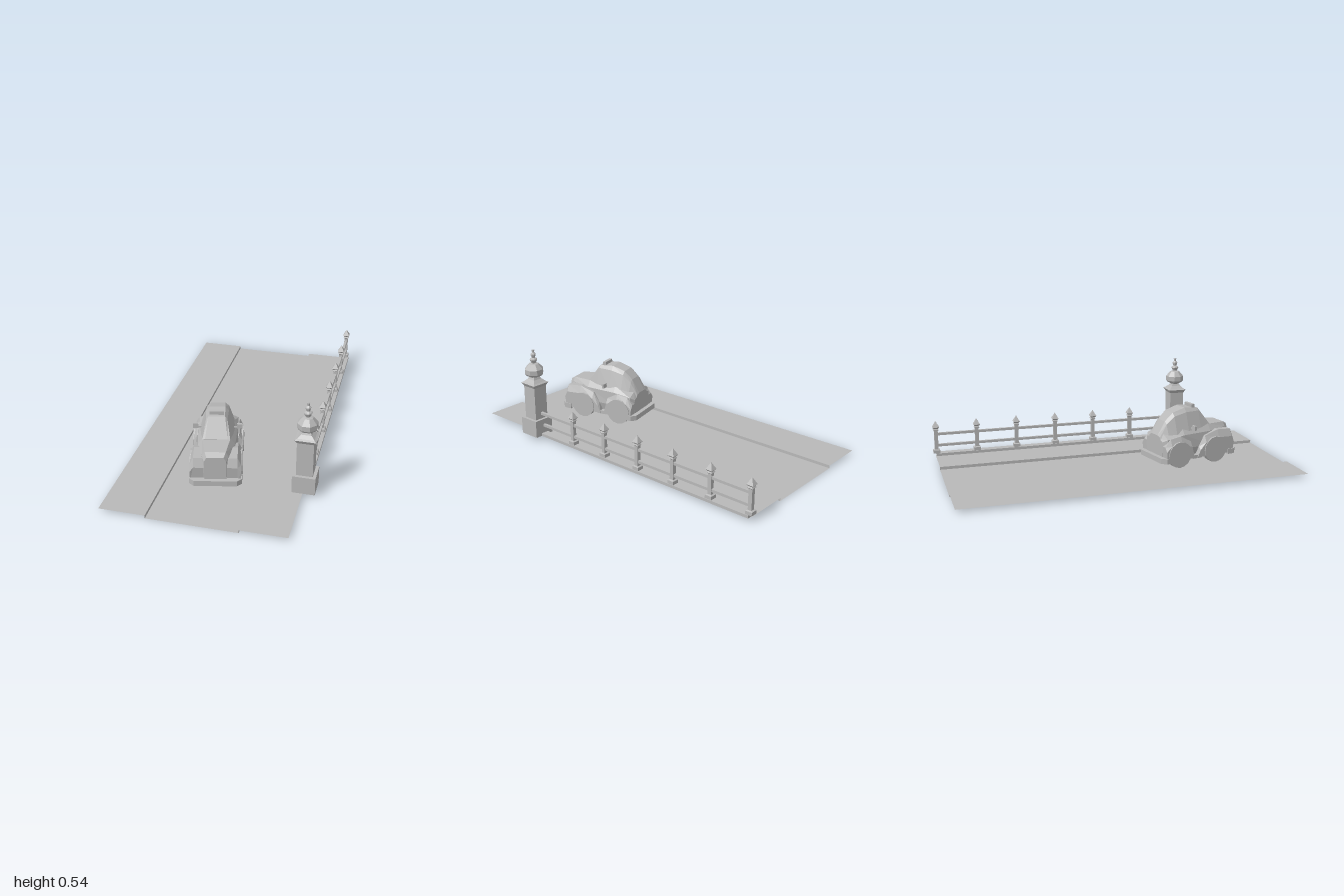
import * as THREE from 'three';

const stoneGrey = new THREE.MeshStandardMaterial({ color: 0xb8b8b8 });
stoneGrey.name = 'stoneGrey';
stoneGrey.flatShading = true;
stoneGrey.side = THREE.DoubleSide;

function add(parent, name, geometry, x = 0, y = 0, z = 0) {
  const mesh = new THREE.Mesh(geometry, stoneGrey);
  mesh.name = name;
  mesh.position.set(x, y, z);
  parent.add(mesh);
  return mesh;
}

const box = (w, h, d) => new THREE.BoxGeometry(w, h, d);

// Faceted turned shape; radii are measured to the flat sides
function turned(points, sides) {
  const k = 1 / Math.cos(Math.PI / sides);
  return new THREE.LatheGeometry(points.map(([r, y]) => new THREE.Vector2(r * k, y)), sides, Math.PI / sides);
}

// Loft through mirrored half profiles, from back to front
function loft(sections) {
  const rings = sections.map(([z, ...half]) => [
    ...half.map(([x, y]) => [x, y, z]),
    ...half.slice().reverse().map(([x, y]) => [-x, y, z]),
  ]);
  const n = rings[0].length;
  const index = [];
  for (let i = 0; i < rings.length - 1; i++) {
    for (let j = 0; j < n; j++) {
      const k = (j + 1) % n;
      const a = i * n + j, b = i * n + k;
      index.push(a, b, b + n, a, b + n, a + n);
    }
  }
  const last = (rings.length - 1) * n;
  for (let j = 1; j < n - 1; j++) {
    index.push(last, last + j, last + j + 1, 0, j + 1, j);
  }
  const g = new THREE.BufferGeometry();
  g.setAttribute('position', new THREE.Float32BufferAttribute(rings.flat(2), 3));
  g.setIndex(index);
  const flat = g.toNonIndexed();
  flat.computeVertexNormals();
  return flat;
}

function extrude(points, depth, steps = 1) {
  const shape = new THREE.Shape(points.map(([x, y]) => new THREE.Vector2(x, y)));
  return new THREE.ExtrudeGeometry(shape, { depth, steps, bevelEnabled: false });
}

// Fender with an outer edge that drops down
function fender(side, outline) {
  const g = extrude(outline, 0.075, 4).rotateY(-Math.PI / 2);
  g.translate(side > 0 ? 0.135 : -0.06, 0, 0);
  const p = g.attributes.position;
  for (let i = 0; i < p.count; i++) {
    if (Math.abs(p.getX(i)) > 0.13) p.setY(i, 0.06 + (p.getY(i) - 0.06) * 0.7);
  }
  g.computeVertexNormals();
  return g;
}

function createStreet() {
  const street = new THREE.Group();
  street.name = 'street';
  const profile = [[-0.53, 0.017], [-0.28, 0.017], [-0.28, 0], [0.21, 0], [0.21, 0.017], [0.46, 0.017]];
  const names = ['rightPavement', 'rightKerb', 'road', 'leftKerb', 'leftPavement'];
  names.forEach((name, i) => {
    const g = new THREE.PlaneGeometry(1, 1);
    [0, 1, 2, 3].forEach((v) => {
      const [x, y] = profile[i + (v % 2)];
      g.attributes.position.setXYZ(v, x, y, v < 2 ? -0.985 : 1);
    });
    g.computeVertexNormals();
    add(street, name, g);
  });
  return street;
}

function createFence() {
  const fence = new THREE.Group();
  fence.name = 'fence';
  add(fence, 'fenceBase', box(0.048, 0.016, 1.49), 0.461, 0.025, -0.235);
  for (const y of [0.08, 0.15]) add(fence, 'rail', box(0.016, 0.015, 1.53), 0.461, y, -0.215);
  const post = turned([[0, 0.033], [0.02, 0.033], [0.02, 0.052], [0.011, 0.056], [0.011, 0.172],
    [0.016, 0.177], [0.012, 0.185], [0.02, 0.194], [0.005, 0.222], [0, 0.232]], 4);
  for (let i = 0; i < 6; i++) add(fence, 'post', post, 0.461, 0, 0.255 - i * 0.2465);
  return fence;
}

function createPillar() {
  const pillar = new THREE.Group();
  pillar.name = 'pillar';
  pillar.position.set(0.463, 0, 0.565);
  add(pillar, 'pillarBase', box(0.124, 0.101, 0.124), 0, 0.0675, 0);
  add(pillar, 'pillarShaft', box(0.089, 0.2, 0.089), 0, 0.217, 0);
  add(pillar, 'pillarCap', turned([[0.0445, 0.315], [0.056, 0.335], [0.045, 0.342], [0.028, 0.358], [0.019, 0.376]], 4));
  add(pillar, 'urn', turned([[0.019, 0.368], [0.045, 0.382], [0.051, 0.392], [0.051, 0.42],
    [0.027, 0.45], [0.012, 0.455], [0.021, 0.475], [0.019, 0.48], [0.009, 0.487],
    [0.014, 0.503], [0.014, 0.508], [0.006, 0.518], [0.008, 0.533], [0, 0.535]], 8));
  return pillar;
}

function createCar() {
  const car = new THREE.Group();
  car.name = 'car';
  car.position.set(-0.045, 0, 0.46);
  car.rotation.y = 0.218;

  add(car, 'body', loft([
    [-0.235, [0.08, 0.06], [0.09, 0.12], [0.085, 0.17], [0.05, 0.18]],
    [-0.215, [0.09, 0.06], [0.115, 0.12], [0.11, 0.185], [0.06, 0.21]],
    [-0.1, [0.1, 0.06], [0.115, 0.12], [0.11, 0.2], [0.085, 0.235]],
    [0.09, [0.1, 0.06], [0.11, 0.12], [0.1, 0.2], [0.075, 0.237]],
    [0.215, [0.06, 0.06], [0.072, 0.12], [0.07, 0.205], [0.055, 0.232]],
    [0.243, [0.055, 0.06], [0.06, 0.12], [0.058, 0.19], [0.045, 0.215]],
  ]));
  add(car, 'cabin', loft([
    [-0.235, [0.065, 0.165], [0.055, 0.19], [0.03, 0.198]],
    [-0.19, [0.085, 0.19], [0.055, 0.262], [0.035, 0.278]],
    [-0.14, [0.095, 0.2], [0.06, 0.305], [0.04, 0.324]],
    [-0.06, [0.098, 0.21], [0.062, 0.322], [0.042, 0.346]],
    [0.03, [0.088, 0.22], [0.057, 0.322], [0.045, 0.337]],
    [0.1, [0.078, 0.22], [0.074, 0.236], [0.06, 0.238]],
  ]));
  add(car, 'roofSign', box(0.076, 0.027, 0.02), 0, 0.345, 0.005);

  const frontArch = [[0.23, 0.06], [0.24, 0.15], [0.222, 0.2], [0.13, 0.207], [0.04, 0.18], [0, 0.12], [-0.02, 0.06]];
  const rearArch = [[-0.04, 0.06], [-0.06, 0.16], [-0.13, 0.198], [-0.2, 0.188], [-0.235, 0.145], [-0.232, 0.06]];
  const wheel = new THREE.CylinderGeometry(0.077, 0.077, 0.03, 16).rotateZ(Math.PI / 2);
  for (const s of [-1, 1]) {
    add(car, 'frontFender', fender(s, frontArch));
    add(car, 'rearFender', fender(s, rearArch));
    add(car, 'runningBoard', box(0.03, 0.02, 0.06), s * 0.115, 0.065, -0.02);
    add(car, 'frontWheel', wheel, s * 0.125, 0.094, 0.105);
    add(car, 'rearWheel', wheel, s * 0.125, 0.094, -0.145);
    add(car, 'mirror', box(0.03, 0.026, 0.014), s * 0.12, 0.238, -0.04);
    add(car, 'mirrorArm', box(0.03, 0.008, 0.008), s * 0.098, 0.23, -0.04);
  }

  // Wrap-around bumpers with chamfered corners
  const half = [[0.14, 0.195], [0.14, 0.238], [0.113, 0.263]];
  const outline = [...half, ...half.slice().reverse().map(([x, z]) => [-x, z])];
  const bumper = extrude(outline, 0.031).rotateX(-Math.PI / 2);
  add(car, 'rearBumper', bumper, 0, 0.051, 0).position.z = 0.002;
  add(car, 'frontBumper', bumper, 0, 0.051, 0).rotation.y = Math.PI;
  car.children[car.children.length - 2].position.z = 0.002;
  return car;
}

export function createModel() {
  const model = new THREE.Group();
  model.name = 'streetScene';
  model.add(createStreet(), createFence(), createPillar(), createCar());
  return model;
}
